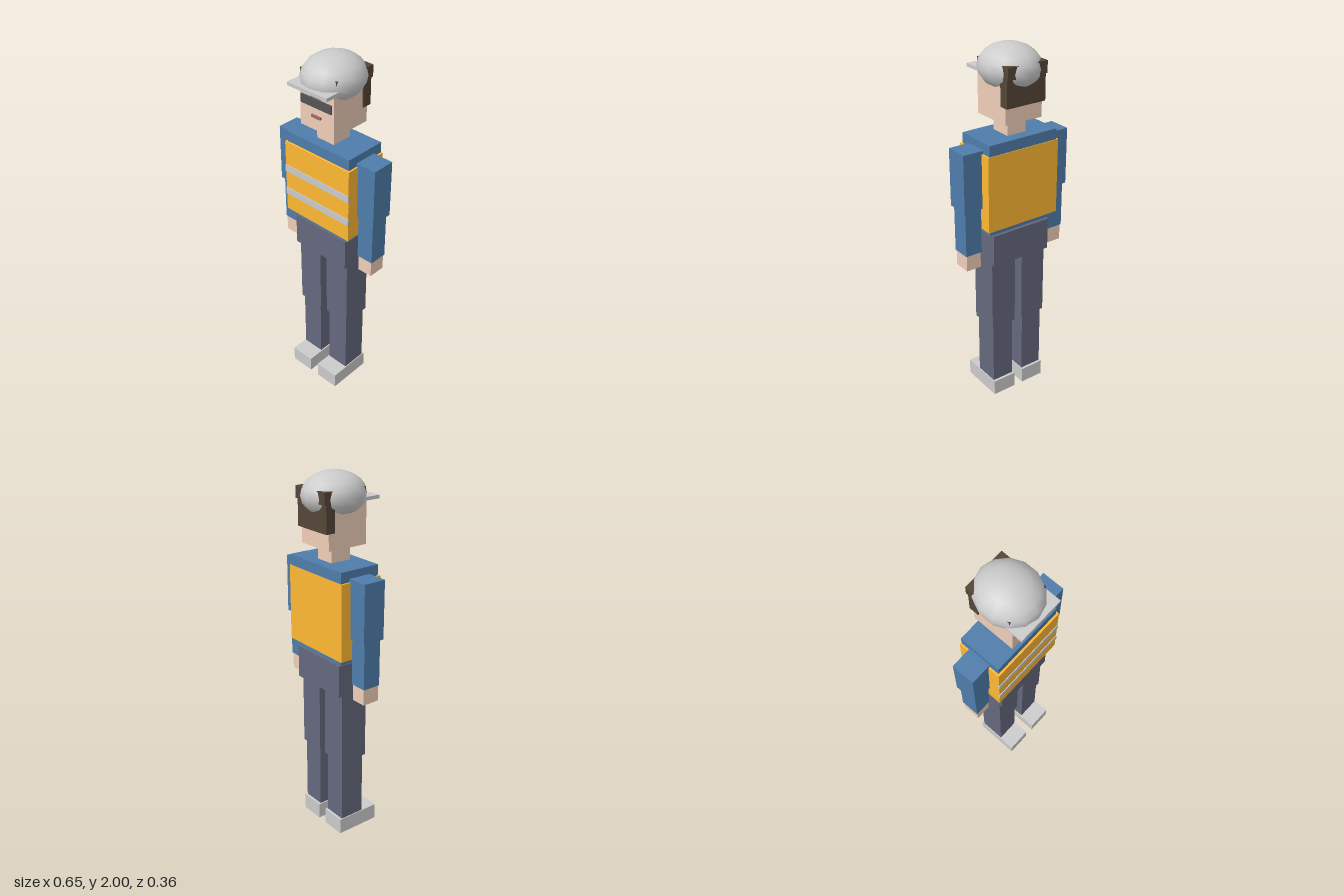
import * as THREE from 'three';

const mat = (color) => new THREE.MeshStandardMaterial({ color });

export function createModel() {
  const model = new THREE.Group();
  const grey = mat(0xcccccc);
  const skin = mat(0xefcfb8);
  const shirt = mat(0x4f7dab);
  const orange = mat(0xffb833);
  const trousers = mat(0x65687d);
  const hair = mat(0x554538);
  const dark = mat(0x555555);
  const lips = mat(0xa5695f);

  // Box given by its limits along each axis
  const box = (name, material, [x0, x1], [y0, y1], [z0, z1]) => {
    const mesh = new THREE.Mesh(new THREE.BoxGeometry(x1 - x0, y1 - y0, z1 - z0), material);
    mesh.position.set((x0 + x1) / 2, (y0 + y1) / 2, (z0 + z1) / 2);
    mesh.name = name;
    model.add(mesh);
  };
  const centred = (name, material, halfWidth, y, z) =>
    box(name, material, [-halfWidth, halfWidth], y, z);
  // The same box on the left (+x) and right (-x)
  const pair = (name, material, [x0, x1], y, z) => {
    box('left' + name, material, [x0, x1], y, z);
    box('right' + name, material, [-x1, -x0], y, z);
  };

  // Legs and hips
  pair('Shoe', grey, [0.028, 0.167], [0, 0.09], [-0.092, 0.161]);
  pair('Shin', trousers, [0.035, 0.162], [0.09, 0.457], [-0.077, 0.065]);
  pair('Thigh', trousers, [0.023, 0.172], [0.457, 0.862], [-0.087, 0.075]);
  centred('hips', trousers, 0.177, [0.862, 1.04], [-0.112, 0.098]);

  // Torso with a reflective vest
  centred('torso', shirt, 0.207, [1.06, 1.55], [-0.126, 0.11]);
  centred('vest', orange, 0.217, [1.08, 1.492], [-0.129, 0.121]);
  for (const y of [1.197, 1.336]) {
    centred('vestStripe', grey, 0.218, [y - 0.02, y + 0.02], [0.115, 0.125]);
  }

  // Arms
  pair('UpperArm', shirt, [0.206, 0.324], [1.197, 1.51], [-0.072, 0.055]);
  pair('Forearm', shirt, [0.217, 0.313], [0.942, 1.197], [-0.059, 0.043]);
  pair('Hand', skin, [0.222, 0.308], [0.853, 0.942], [-0.055, 0.041]);

  // Neck, head and face
  centred('neck', skin, 0.056, [1.548, 1.622], [-0.065, 0.053]);
  centred('head', skin, 0.11, [1.632, 1.87], [-0.124, 0.111]);
  centred('glasses', dark, 0.099, [1.757, 1.802], [0.105, 0.12]);
  centred('mouth', lips, 0.03, [1.702, 1.715], [0.105, 0.121]);

  // Hair: a cap with a slab down the back
  centred('hairTop', hair, 0.117, [1.862, 1.924], [-0.155, 0.1]);
  centred('hairBack', hair, 0.116, [1.72, 1.88], [-0.143, -0.09]);

  // Helmet with a flat brim
  const dome = new THREE.SphereGeometry(1, 14, 10).rotateY(Math.PI / 2);
  const helmet = new THREE.Mesh(dome, grey);
  helmet.scale.set(0.157, 0.117, 0.1725);
  helmet.position.set(0, 1.883, -0.0075);
  helmet.name = 'helmet';
  model.add(helmet);
  centred('helmetBrim', grey, 0.127, [1.856, 1.874], [0.08, 0.179]);

  return model;
}
